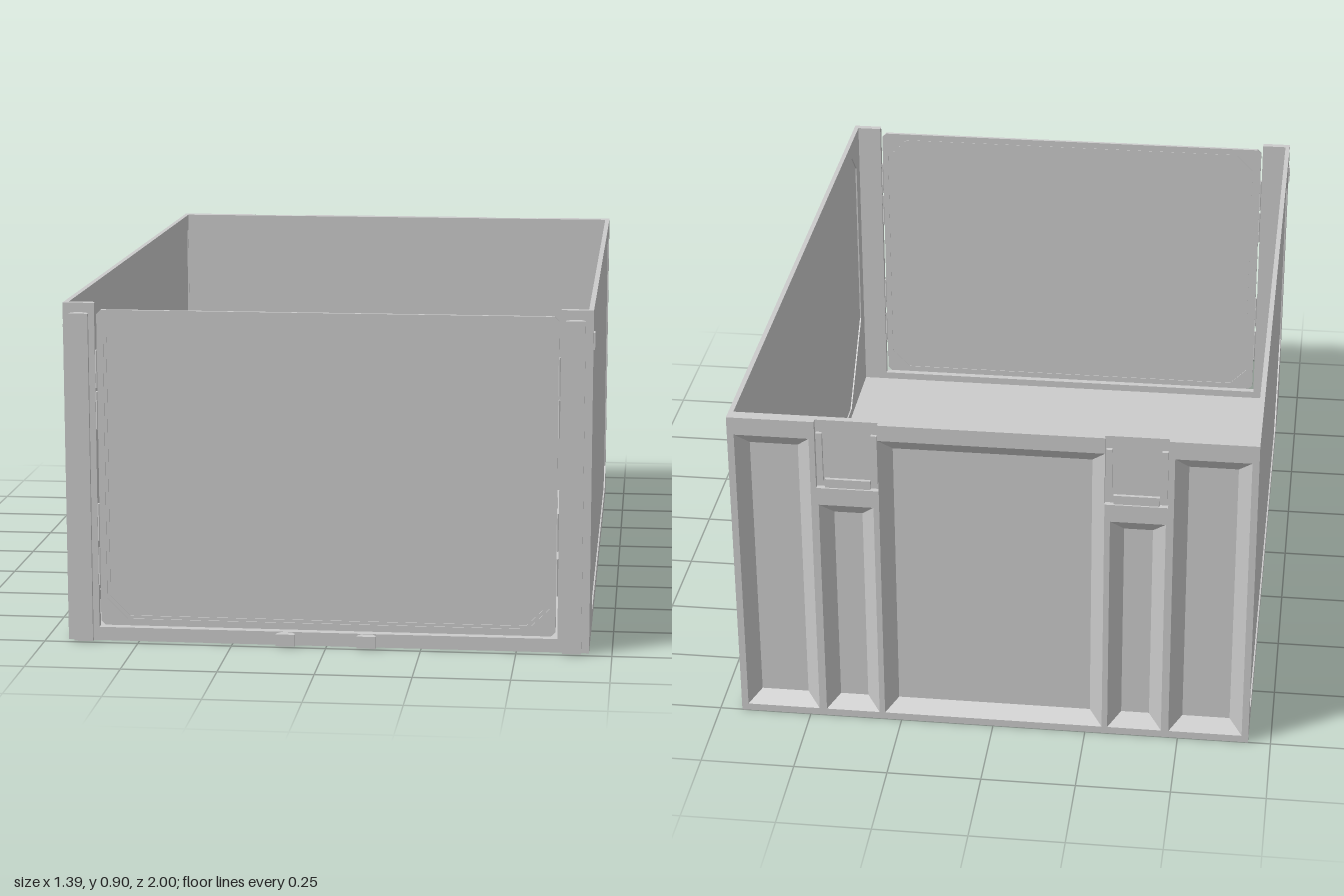
import * as THREE from 'three';

const mat = new THREE.MeshStandardMaterial({ color: 0xcccccc, flatShading: true, side: THREE.DoubleSide });
const W = 0.69, H = 0.905, FRONT = 0.975;

export function createModel() {
  const model = new THREE.Group();

  const add = (name, geometry, parent = model) => {
    const mesh = new THREE.Mesh(geometry, mat);
    mesh.name = name;
    parent.add(mesh);
    return mesh;
  };
  const box = (name, x0, x1, y0, y1, z0, z1, parent) => {
    const g = new THREE.BoxGeometry(x1 - x0, y1 - y0, z1 - z0);
    g.translate((x0 + x1) / 2, (y0 + y1) / 2, (z0 + z1) / 2);
    return add(name, g, parent);
  };
  const vec = (pts) => pts.map(([x, y]) => new THREE.Vector2(x, y));
  const rect = (x0, x1, y0, y1) => [[x0, y0], [x1, y0], [x1, y1], [x0, y1]];
  // Flat plate cut from an outline with openings, spanning z0 to z1
  const plate = (outline, holes, z0, z1) => {
    const s = new THREE.Shape(vec(outline));
    holes.forEach((h) => s.holes.push(new THREE.Path(vec(h))));
    return new THREE.ExtrudeGeometry(s, { depth: z1 - z0, bevelEnabled: false }).translate(0, 0, z0);
  };

  // Floor
  box('floor', -W + 0.005, W - 0.005, 0, 0.014, -0.99, 0.97);

  // Side walls: frame around a shallow sunken panel with clipped corners
  const sidePanel = [[-0.9, 0.79], [-0.83, 0.855], [0.965, 0.855], [0.965, 0.1],
    [0.9, 0.04], [-0.68, 0.04], [-0.9, 0.26]];
  for (const s of [1, -1]) {
    const side = new THREE.Group();
    side.name = s > 0 ? 'leftWall' : 'rightWall';
    // Drawn in (-z, y), then turned to face sideways
    const x0 = s > 0 ? W - 0.013 : -W;
    const frame = plate(rect(-FRONT, 0.985, 0, H), [sidePanel], x0, x0 + 0.013).rotateY(Math.PI / 2);
    const panel = plate(sidePanel, [], x0 + 0.004, x0 + 0.009).rotateY(Math.PI / 2);
    add('sideFrame', frame, side);
    add('sidePanel', panel, side);

    // Small hooked catch near the upper front corner
    const xa = s > 0 ? W - 0.002 : -W - 0.004, xb = xa + 0.006;
    box('catchLeg', xa, xb, 0.8, 0.845, 0.95, 0.958, side);
    box('catchLeg', xa, xb, 0.8, 0.845, 0.932, 0.94, side);
    box('catchTop', xa, xb, 0.837, 0.845, 0.932, 0.958, side);
    model.add(side);
  }

  // Front door: thin sheet with a clipped, stepped panel
  const clipped = (w, y0, y1, c) => [[-w + c, y0], [w - c, y0], [w, y0 + c], [w, y1 - c],
    [w - c, y1], [-w + c, y1], [-w, y1 - c], [-w, y0 + c]];
  const door = new THREE.Group();
  door.name = 'frontDoor';
  const outer = clipped(0.585, 0.06, 0.875, 0.055);
  const inner = clipped(0.577, 0.068, 0.867, 0.052);
  add('doorFrame', plate(clipped(0.602, 0.042, 0.887, 0.012), [outer], 0.963, 0.973), door);
  add('doorStep', plate(outer, [inner], 0.965, 0.97), door);
  add('doorPanel', plate(inner, [], 0.964, 0.967), door);
  model.add(door);

  // Front sill and corner posts
  box('frontSill', -0.607, 0.607, 0, 0.036, 0.955, FRONT);
  for (const s of [1, -1]) {
    const a = s * 0.607, b = s * W;
    box('cornerPost', Math.min(a, b), Math.max(a, b), 0, H, 0.955, FRONT);
    // Hinge knuckles beside the door
    for (const y of [0.2, 0.32, 0.62, 0.73]) {
      const pin = new THREE.CylinderGeometry(0.005, 0.005, 0.1, 8).translate(s * 0.604, y, 0.969);
      add('hingeKnuckle', pin, door);
    }
  }

  // Dovetail rails on the posts and short keys on the sill
  const dovetail = (name, x, height) => {
    const s = [[-0.014, -FRONT], [0.014, -FRONT], [0.025, -0.99], [0.025, -1], [-0.025, -1], [-0.025, -0.99]];
    const g = plate(s, [], 0, height).rotateX(-Math.PI / 2).translate(x, 0.003, 0);
    return add(name, g);
  };
  for (const s of [1, -1]) {
    dovetail('cornerRail', s * 0.645, 0.877);
    dovetail('sillKey', s * 0.107, 0.032);
  }

  // Back wall: five bevelled pockets between ribs, and two notches in the rim
  const back = new THREE.Group();
  back.name = 'backWall';
  const pockets = [[-0.295, 0.295, 0.02, 0.86]];
  for (const s of [1, -1]) {
    for (const [a, b, top] of [[0.31, 0.455, 0.66], [0.475, 0.672, 0.855]]) {
      pockets.push([Math.min(s * a, s * b), Math.max(s * a, s * b), 0.02, top]);
    }
  }
  const holes = pockets.map((p) => rect(...p));
  const notched = [[-W, 0], [W, 0], [W, H], [0.46, H], [0.46, 0.71], [0.295, 0.71], [0.295, H],
    [-0.295, H], [-0.295, 0.71], [-0.46, 0.71], [-0.46, H], [-W, H]];
  add('backRibs', plate(notched, holes, -1, -0.986), back);
  add('backFrame', plate(rect(-W, W, 0, H), holes, -0.986, -0.97), back);
  add('backLining', plate(rect(-W + 0.01, W - 0.01, 0.01, H), [], -0.97, -0.967), back);

  // Pocket: outer loop sloping in to a smaller, deeper loop, closed by a floor
  const pocket = ([x0, x1, y0, y1]) => {
    const b = 0.035;
    const pts = [...rect(x0, x1, y0, y1).map((p) => [...p, -1]),
      ...rect(x0 + b, x1 - b, y0 + b, y1 - b).map((p) => [...p, -0.971])];
    const index = [4, 6, 5, 4, 7, 6];
    for (let i = 0; i < 4; i++) {
      const j = (i + 1) % 4;
      index.push(i, i + 4, j, j, i + 4, j + 4);
    }
    const g = new THREE.BufferGeometry();
    g.setAttribute('position', new THREE.Float32BufferAttribute(pts.flat(), 3));
    g.setIndex(index);
    const flat = g.toNonIndexed();
    flat.computeVertexNormals();
    return flat;
  };
  pockets.forEach((p) => add('backPocket', pocket(p), back));

  // Slot lips and small catches in the rim notches
  for (const s of [1, -1]) {
    const c = s * 0.3775;
    box('slotLip', c - 0.06, c + 0.06, 0.71, 0.735, -0.995, -0.985, back);
    for (const t of [1, -1]) {
      const x = c + t * 0.072;
      box('slotGuide', x - 0.008, x + 0.008, 0.73, 0.87, -0.996, -0.985, back);
    }
  }
  model.add(back);

  return model;
}
